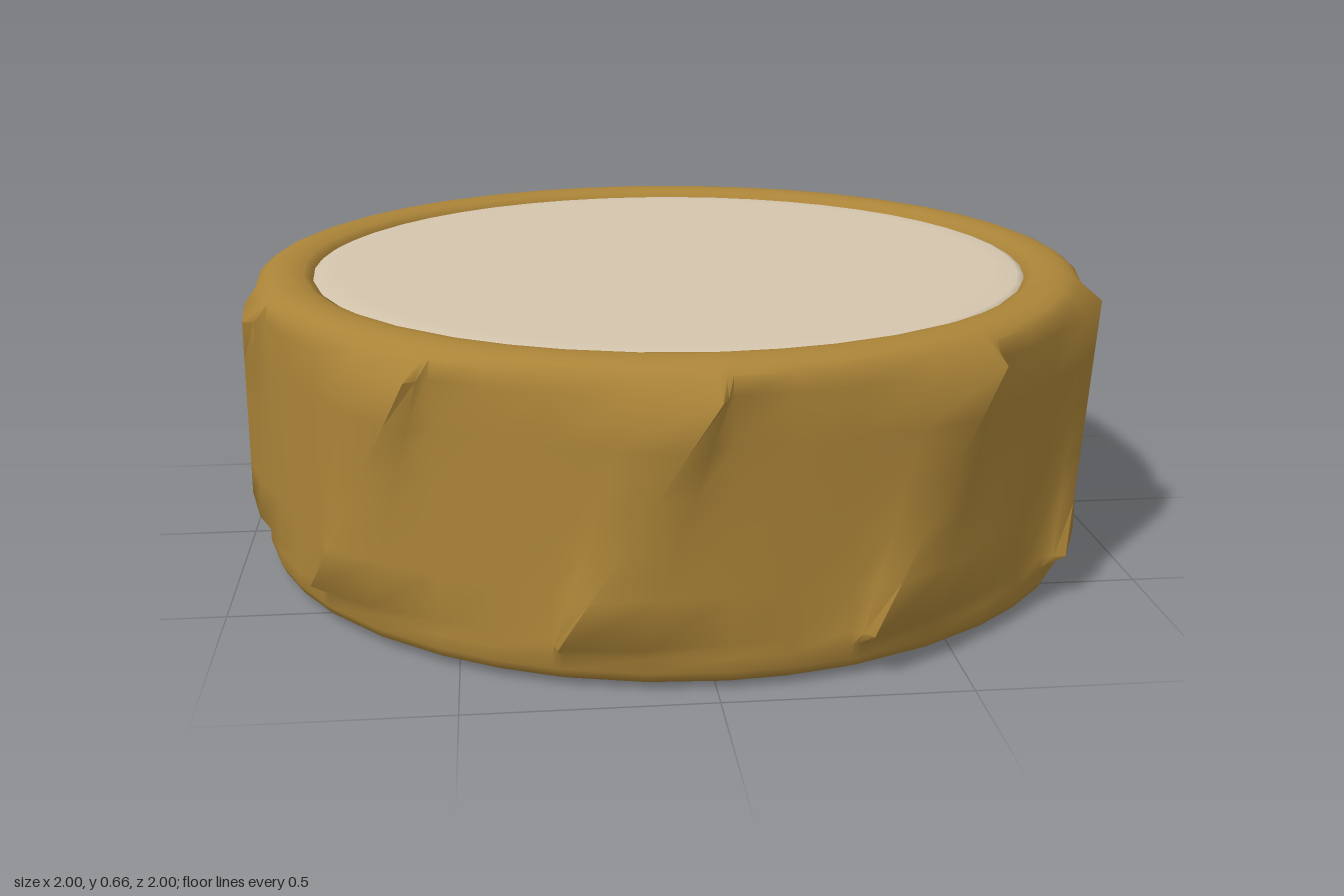
import * as THREE from 'three';
import { toCreasedNormals } from 'three/addons/utils/BufferGeometryUtils.js';

const TEETH = 10, STEP = 36, SLANT = 18, EDGE = 1.5;
const R = 0.955, TIP = 0.045;
const rad = THREE.MathUtils.degToRad;

// Rows of the shell from the bottom edge up and over the rim: radius, height, ridge strength
const rows = [
  [0.89, 0, 0], [0.92, 0.006, 0], [0.945, 0.02, 0], [R, 0.04, 0], [R, 0.07, 0],
  [R, 0.1, 1], [R, 0.2, 1], [R, 0.3, 1], [R, 0.4, 1], [R, 0.5, 1], [R, 0.6, 1],
  [0.95, 0.638, 0], [0.932, 0.652, 0], [0.91, 0.66, 0],
  [0.875, 0.662, 0], [0.845, 0.656, 0], [0.825, 0.645, 0], [0.82, 0.62, 0],
];

// Angle (degrees) and ridge height of each column of one tooth at crest fraction u
function toothColumns(u) {
  const crest = -SLANT + SLANT * u;
  const left = -SLANT - EDGE, right = EDGE;
  // the straight crest dips slightly below the full radius halfway up
  const peak = (Math.cos(rad(9)) / Math.cos(rad(crest + 9)) - R) / TIP;
  return [
    [left, 0], [(left + crest) / 2, peak / 2], [crest, peak],
    [(crest + right) / 2, peak / 2], [right, 0], [(right + left + STEP) / 2, 0],
  ];
}

// Shell with slanted grip ridges, built as a grid of rows and columns
function shellGeometry() {
  const positions = [], index = [], columns = TEETH * 6;
  for (const [r, y, strength] of rows) {
    const u = THREE.MathUtils.clamp((y - 0.1) / 0.5, 0, 1);
    for (let t = 0; t < TEETH; t++) {
      for (const [angle, height] of toothColumns(u)) {
        const a = rad(t * STEP + angle), radius = r + TIP * height * strength;
        positions.push(radius * Math.sin(a), y, radius * Math.cos(a));
      }
    }
  }
  for (let i = 0; i < rows.length - 1; i++) {
    for (let j = 0; j < columns; j++) {
      const k = (j + 1) % columns;
      const a = i * columns + j, b = i * columns + k;
      const c = b + columns, d = a + columns;
      index.push(a, b, c, a, c, d);
    }
  }
  const geometry = new THREE.BufferGeometry();
  geometry.setAttribute('position', new THREE.Float32BufferAttribute(positions, 3));
  geometry.setIndex(index);
  return toCreasedNormals(geometry, 1.1);
}

export function createModel() {
  const brown = new THREE.MeshStandardMaterial({ color: 0xab8438 });
  brown.name = 'golden brown';
  const cream = new THREE.MeshStandardMaterial({ color: 0xd4c5ad });
  cream.name = 'cream';

  const model = new THREE.Group();
  model.name = 'ridgedCap';
  const add = (name, geometry, material) => {
    const mesh = new THREE.Mesh(geometry, material);
    mesh.name = name;
    model.add(mesh);
    return mesh;
  };

  add('ridgedShell', shellGeometry(), brown);

  // Flat underside
  const base = add('underside', new THREE.CircleGeometry(0.892, 60), brown);
  base.rotation.x = Math.PI / 2;

  // Slightly domed disc filling the rim, its edge tucked into the shell
  const profile = [[0.83, 0.62], [0.828, 0.64], [0.81, 0.646], [0.76, 0.649], [0, 0.65]];
  const points = profile.map(([x, y]) => new THREE.Vector2(x, y));
  add('topDisc', new THREE.LatheGeometry(points, 48), cream);

  return model;
}
